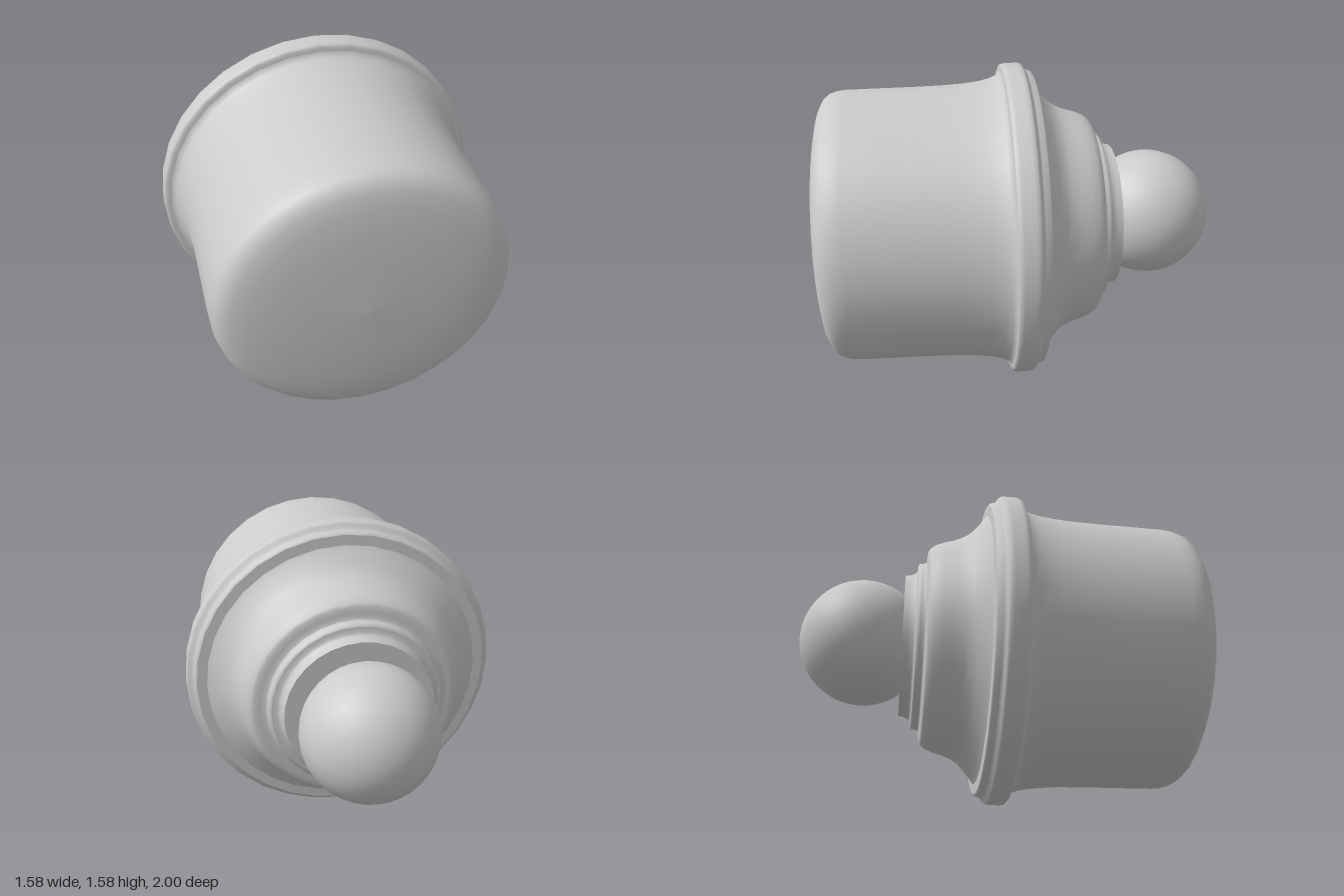
import * as THREE from 'three';

const AXIS_Y = 0.795;
const material = new THREE.MeshStandardMaterial({ color: 0xcccccc, side: THREE.DoubleSide });

// Turned section: [radius, z] pairs running from back to front
function turned(name, profile) {
  const points = profile.map(([r, z]) => new THREE.Vector2(r, z));
  const geometry = new THREE.LatheGeometry(points, 32).rotateX(Math.PI / 2);
  const mesh = new THREE.Mesh(geometry, material);
  mesh.name = name;
  mesh.position.y = AXIS_Y;
  return mesh;
}

export function createModel() {
  const model = new THREE.Group();
  model.name = 'turnedKnob';

  // Ball handle at the back, sunk into the neck
  const ball = new THREE.Mesh(new THREE.SphereGeometry(0.32, 32, 24).rotateX(Math.PI / 2), material);
  ball.name = 'ball';
  ball.position.set(0, AXIS_Y + 0.005, -0.68);
  model.add(ball);

  // Sections are separate so the edges between them stay crisp
  model.add(
    turned('neckFace', [[0, -0.487], [0.36, -0.487]]),
    turned('neckRing', [[0.36, -0.487], [0.364, -0.46], [0.373, -0.437], [0.385, -0.427], [0.41, -0.425]]),
    turned('neckCollar', [
      [0.41, -0.425], [0.422, -0.42], [0.425, -0.405], [0.427, -0.39], [0.435, -0.382], [0.46, -0.38],
    ]),
    turned('shoulder', [
      [0.46, -0.38], [0.49, -0.378], [0.505, -0.368], [0.522, -0.345], [0.538, -0.305], [0.552, -0.255],
      [0.57, -0.21], [0.59, -0.177], [0.62, -0.147], [0.65, -0.122], [0.675, -0.102], [0.69, -0.093],
    ]),
    turned('rimBack', [[0.69, -0.093], [0.74, -0.09]]),
    // Rounded rim flowing into the body through a flared fillet
    turned('rim', [
      [0.74, -0.09], [0.751, -0.083], [0.756, -0.06], [0.764, -0.048], [0.78, -0.042], [0.788, -0.032],
      [0.79, -0.015], [0.79, 0.04], [0.787, 0.058], [0.775, 0.066], [0.755, 0.068],
    ]),
    turned('body', [
      [0.755, 0.068], [0.742, 0.073], [0.73, 0.087], [0.717, 0.12], [0.706, 0.17], [0.697, 0.24],
      [0.69, 0.34], [0.686, 0.5], [0.684, 0.68], [0.682, 0.82], [0.677, 0.865], [0.664, 0.905],
      [0.64, 0.934], [0.6, 0.954], [0.53, 0.97], [0.42, 0.983], [0.25, 0.993], [0, 1.0],
    ]),
  );
  return model;
}
